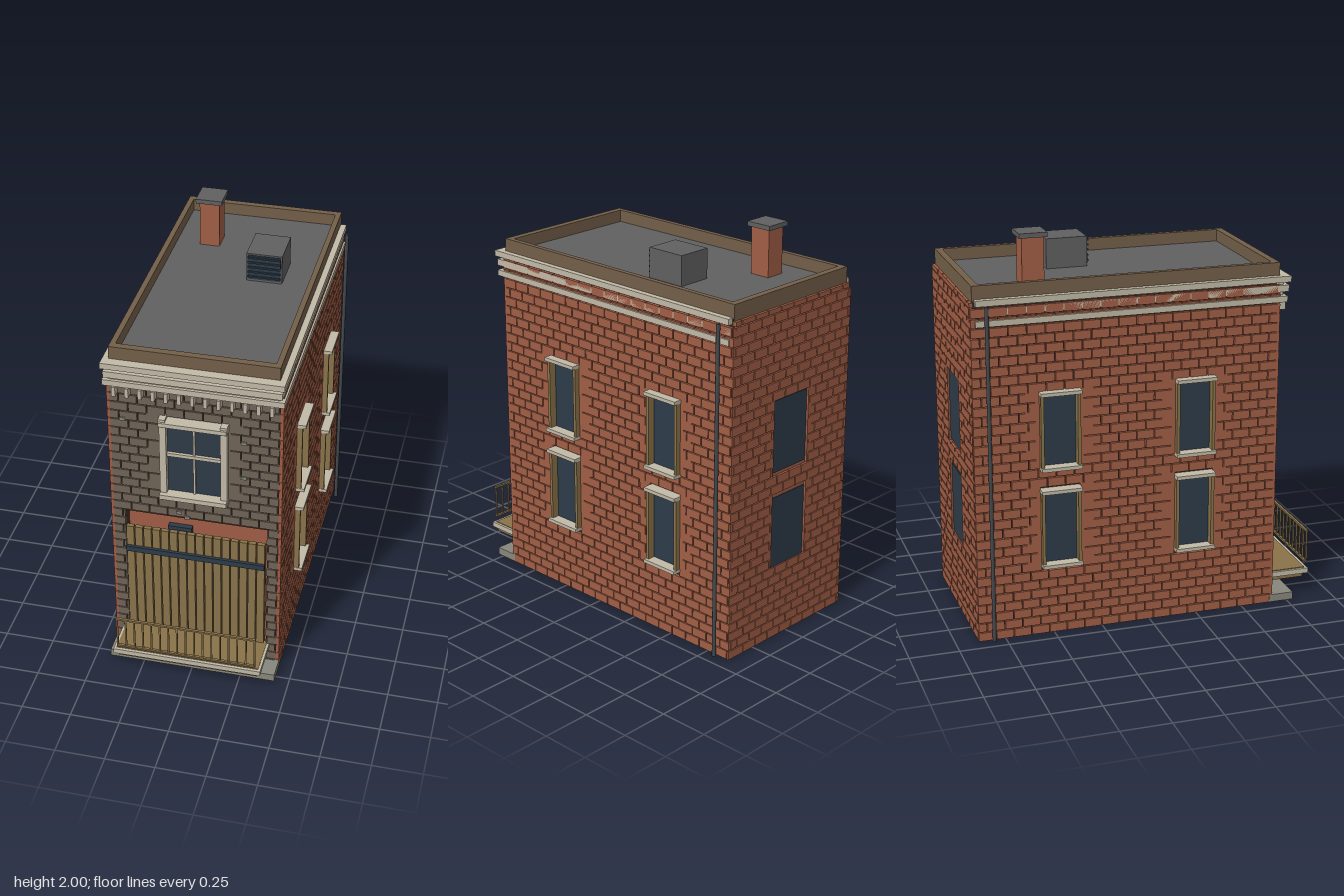
import * as THREE from 'three';
import { mergeGeometries } from 'three/addons/utils/BufferGeometryUtils.js';

const mat = (name, color) => new THREE.MeshStandardMaterial({ name, color });

export function createModel() {
  const M = {
    brick: mat('red brick', 0xa15e45),
    grey: mat('grey brick', 0x716456),
    mortar: mat('dark mortar', 0x432e26),
    parapet: mat('brown coping', 0x735f49),
    trim: mat('pale trim', 0xc2baa7),
    wood: mat('wood', 0x8a734a),
    glass: mat('window glass', 0x2d3b48),
    iron: mat('dark iron', 0x44484c),
    roof: mat('roof grey', 0x606060),
    stone: mat('stone', 0x88877c),
  };
  const model = new THREE.Group();
  model.name = 'townhouse';

  // box given by its limits on each axis
  const boxGeo = (x0, x1, y0, y1, z0, z1) =>
    new THREE.BoxGeometry(x1 - x0, y1 - y0, z1 - z0)
      .translate((x0 + x1) / 2, (y0 + y1) / 2, (z0 + z1) / 2);
  const add = (name, material, geo, parent = model) => {
    const mesh = new THREE.Mesh(geo, material);
    mesh.name = name;
    parent.add(mesh);
    return mesh;
  };
  const box = (name, material, ...r) => add(name, material, boxGeo(...r));
  const boxes = (name, material, list, parent) =>
    add(name, material, mergeGeometries(list.map((r) => boxGeo(...r))), parent);

  // running-bond bricks on a wall facing +z; holes are [u0, u1, y0, y1, toothing],
  // where toothing is the width of the plain jointless blocks beside an opening
  const COURSE = 0.0485, PITCH = 0.091, GAP = 0.0055;
  function bricks(u0, u1, y0, y1, depth, holes) {
    const list = [];
    for (let row = Math.floor(y0 / COURSE); row * COURSE < y1 - 0.01; row++) {
      const b = Math.max(y0, row * COURSE), t = Math.min(y1, (row + 1) * COURSE - GAP);
      if (t - b < 0.006) continue;
      const odd = row % 2;
      const cuts = holes.filter(([, , hb, ht]) => (b + t) / 2 > hb && (b + t) / 2 < ht)
        .map(([h0, h1, , , tooth = 0]) => [h0, h1, odd ? tooth : tooth * 0.3]);
      for (const [h0, h1, m] of cuts) {
        if (m === 0) continue;
        list.push(boxGeo(h0 - m, h0, b, t + GAP, 0, depth), boxGeo(h1, h1 + m, b, t + GAP, 0, depth));
      }
      for (let u = u0 - odd * PITCH / 2; u < u1; u += PITCH) {
        let spans = [[Math.max(u, u0), Math.min(u + PITCH - GAP, u1)]];
        for (const [h0, h1, m] of cuts)
          spans = spans.flatMap(([a, c]) => [[a, Math.min(c, h0 - m)], [Math.max(a, h1 + m), c]]);
        for (const [a, c] of spans) if (c - a > 0.008) list.push(boxGeo(a, c, b, t, 0, depth));
      }
    }
    return mergeGeometries(list);
  }

  // main body, with a recess behind the front gate
  box('wallCore', M.mortar, -0.41, 0.41, 0.004, 1.73, -0.87, 0.6);
  boxes('frontWall', M.mortar, [
    [-0.41, 0.41, 0.855, 1.73, 0.6, 0.66],
    [-0.41, -0.355, 0.004, 0.855, 0.6, 0.66],
    [0.355, 0.41, 0.004, 0.855, 0.6, 0.66],
  ]);
  box('foundation', M.stone, -0.41, 0.41, 0, 0.004, -0.87, 0.66);
  box('recessWall', M.brick, -0.355, 0.355, 0.04, 0.855, 0.6, 0.606);
  box('recessWindow', M.glass, -0.15, -0.03, 0.3, 0.775, 0.606, 0.635);
  boxes('frontCorners', M.brick, [-1, 1].map((s) =>
    [Math.min(s * 0.408, s * 0.426), Math.max(s * 0.408, s * 0.426), 0, 1.6, 0.655, 0.668]));

  // grey front brickwork
  add('frontBricks', M.grey, bricks(-0.41, 0.41, 0.03, 1.6, 0.015,
    [[-0.355, 0.355, 0, 0.855], [-0.15, 0.15, 1.0, 1.45, 0.085]])).position.z = 0.66;
  boxes('accentBricks', M.stone, [[-0.35, 1.41], [0.24, 1.16], [-0.11, 0.985], [0.24, 1.36],
    [-0.08, 0.9], [-0.04, 0.875]].map(([x, y]) =>
    [x - 0.014, x + 0.014, y - 0.008, y + 0.008, 0.66, 0.682]));

  // side walls with four recessed windows each; local u runs along the wall
  const levels = [[0.375, 0.752], [0.88, 1.25]];
  for (const s of [1, -1]) {
    const side = new THREE.Group();
    side.name = s > 0 ? 'leftWall' : 'rightWall';
    side.rotation.y = s * Math.PI / 2;
    side.position.x = s * 0.41;
    model.add(side);
    const holes = [], glass = [], jambs = [], ledges = [];
    for (const z of [0.23, -0.46]) for (const [b, t] of levels) {
      const u = -s * z;
      holes.push([u - 0.1, u + 0.1, b - 0.02, t + 0.02, 0.07]);
      glass.push([u - 0.09, u + 0.09, b, t, 0, 0.004]);
      for (const e of [-0.092, 0.092])
        jambs.push([u + e - 0.008, u + e + 0.008, b, t, 0, 0.043]);
      for (const y of [b - 0.006, t + 0.005])
        ledges.push([u - 0.102, u + 0.102, y - 0.009, y + 0.009, 0, 0.06]);
    }
    const ends = s > 0 ? [-0.67, 0.885] : [-0.885, 0.67];
    add('sideBricks', M.brick, bricks(...ends, 0, 1.705, 0.016, holes), side);
    boxes('sideGlass', M.glass, glass, side);
    boxes('sideWindowJambs', M.wood, jambs, side);
    boxes('sillsAndLintels', M.trim, ledges, side);

    // downpipe near the rear corner
    const pipe = add('downpipe', M.iron, new THREE.CylinderGeometry(0.01, 0.01, 1.7, 10));
    pipe.position.set(s * 0.45, 0.855, -0.812);
  }

  // back wall with two plain windows
  const back = new THREE.Group();
  back.name = 'backWall';
  back.rotation.y = Math.PI;
  back.position.z = -0.87;
  model.add(back);
  const backLevels = [[0.38, 0.752], [0.885, 1.255]];
  add('backBricks', M.brick, bricks(-0.41, 0.41, 0, 1.72, 0.016,
    backLevels.map(([b, t]) => [-0.125, 0.125, b - 0.015, t + 0.015, 0.03])), back);
  boxes('backWindowSurrounds', M.brick,
    backLevels.map(([b, t]) => [-0.13, 0.13, b - 0.025, t + 0.025, -0.005, 0.004]), back);
  boxes('backGlass', M.glass, backLevels.map(([b, t]) => [-0.12, 0.12, b, t, 0, 0.009]), back);

  // cornice bands and the small brackets under them
  boxes('cornice', M.trim, [
    [-0.437, 0.437, 1.705, 1.735, -0.862, 0.722],
    [-0.426, 0.426, 1.655, 1.688, -0.862, 0.715],
    [-0.435, 0.435, 1.605, 1.635, -0.862, 0.705],
    [-0.41, 0.41, 1.6, 1.72, 0.655, 0.69],
  ]);
  boxes('corniceBrackets', M.trim, Array.from({ length: 13 }, (_, i) => {
    const x = -0.378 + i * 0.063;
    return [x - 0.009, x + 0.009, 1.555, 1.606, 0.66, 0.715];
  }));

  // flat roof inside a parapet
  box('roofDeck', M.roof, -0.385, 0.385, 1.725, 1.738, -0.84, 0.64);
  boxes('parapet', M.parapet, [
    [-0.407, 0.407, 1.72, 1.8, 0.636, 0.672],
    [-0.407, 0.407, 1.72, 1.8, -0.872, -0.837],
    [-0.407, -0.38, 1.72, 1.8, -0.837, 0.636],
    [0.38, 0.407, 1.72, 1.8, -0.837, 0.636],
  ]);

  // chimney and vent unit
  box('chimney', M.brick, -0.257, -0.155, 1.73, 1.978, -0.59, -0.48);
  box('chimneyCap', M.roof, -0.274, -0.139, 1.977, 2, -0.606, -0.466);
  box('ventUnit', M.roof, 0.055, 0.235, 1.73, 1.89, -0.385, -0.175);
  box('ventOpening', M.glass, 0.062, 0.228, 1.75, 1.882, -0.18, -0.171);
  boxes('ventSlats', M.glass, [0, 1, 2, 3, 4].map((i) =>
    [0.062, 0.228, 1.762 + i * 0.026, 1.77 + i * 0.026, -0.175, -0.164]));

  // front sash window
  box('frontGlass', M.glass, -0.14, 0.14, 1.02, 1.43, 0.655, 0.676);
  boxes('frontWindowFrame', M.trim, [
    [-0.165, 0.165, 1.423, 1.445, 0.66, 0.725],
    [-0.165, 0.165, 1.005, 1.03, 0.66, 0.73],
    [-0.165, -0.132, 1.03, 1.423, 0.66, 0.705],
    [0.132, 0.165, 1.03, 1.423, 0.66, 0.705],
    [-0.135, 0.135, 1.238, 1.256, 0.67, 0.692],
    ...[-0.15, 0.15].flatMap((x) => [
      [x - 0.017, x + 0.017, 1.415, 1.458, 0.66, 0.715],
      [x - 0.017, x + 0.017, 0.992, 1.01, 0.66, 0.715]]),
  ]);
  box('frontMullion', M.trim, -0.005, 0.005, 1.03, 1.423, 0.67, 0.686);

  // plank gate with a dark bar
  boxes('gatePlanks', M.wood, Array.from({ length: 16 }, (_, i) => {
    const x = -0.352 + i * 0.044;
    return [x, x + 0.038, 0.045, 0.77, 0.655, 0.677];
  }));
  box('gateBacking', M.parapet, -0.352, 0.348, 0.045, 0.76, 0.648, 0.656);
  box('gateBar', M.glass, -0.352, 0.348, 0.625, 0.655, 0.675, 0.692);

  // step, low balcony and railing
  box('frontStep', M.stone, -0.427, 0.427, 0, 0.04, 0.655, 0.785);
  box('balconySlab', M.trim, -0.38, 0.375, 0.115, 0.142, 0.655, 0.888);
  box('balconyBoards', M.wood, -0.367, 0.362, 0.138, 0.146, 0.665, 0.872);
  box('balconyBeam', M.wood, -0.36, 0.355, 0.09, 0.116, 0.655, 0.866);
  boxes('railing', M.wood, [
    ...Array.from({ length: 17 }, (_, i) => {
      const x = -0.355 + i * 0.0438;
      return [x - 0.004, x + 0.004, 0.17, 0.342, 0.881, 0.889];
    }),
    [-0.36, 0.351, 0.337, 0.347, 0.878, 0.891],
    [-0.36, 0.351, 0.167, 0.177, 0.878, 0.891]]);

  return model;
}
